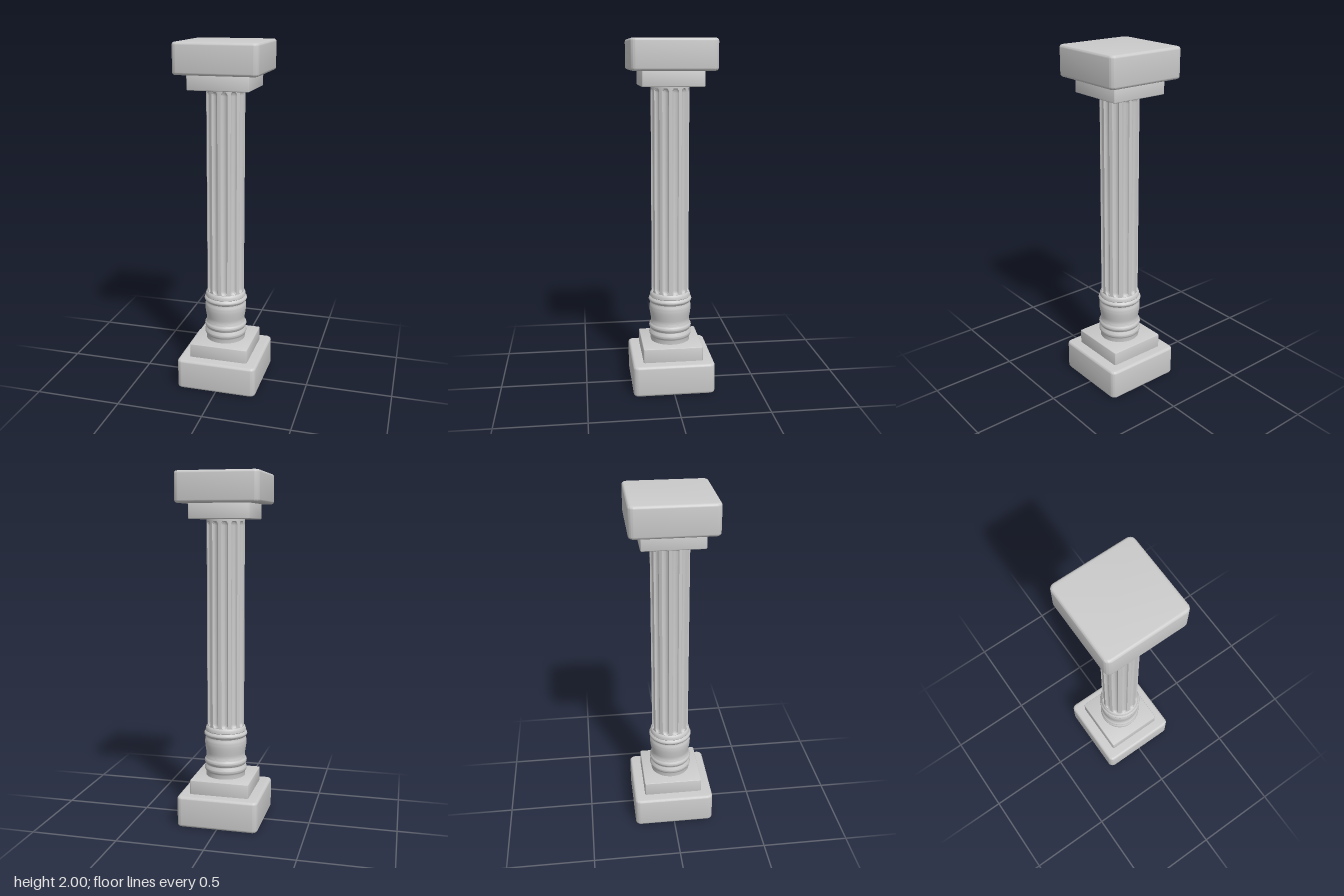
import * as THREE from 'three';
import { toCreasedNormals } from 'three/addons/utils/BufferGeometryUtils.js';

const material = new THREE.MeshStandardMaterial({ color: 0xcccccc, side: THREE.DoubleSide });

function addMesh(group, name, geometry, crease = 0.6) {
  const mesh = new THREE.Mesh(toCreasedNormals(geometry, crease), material);
  mesh.name = name;
  group.add(mesh);
  return mesh;
}

// Square slab with rounded corners and bevelled rims, from y0 to y1
function slab(half, y0, y1, corner, bevel) {
  const h = half - bevel, r = corner - bevel, k = h - r;
  const shape = new THREE.Shape();
  shape.absarc(k, k, r, 0, Math.PI / 2);
  shape.absarc(-k, k, r, Math.PI / 2, Math.PI);
  shape.absarc(-k, -k, r, Math.PI, Math.PI * 1.5);
  shape.absarc(k, -k, r, Math.PI * 1.5, Math.PI * 2);
  const geo = new THREE.ExtrudeGeometry(shape, {
    depth: y1 - y0 - 2 * bevel, bevelEnabled: true, bevelSize: bevel,
    bevelThickness: bevel, bevelSegments: 4, curveSegments: 6,
  });
  geo.rotateX(-Math.PI / 2);
  geo.translate(0, y0 + bevel, 0);
  return geo;
}

// Cylinder with twelve round-ended flutes carved into it
function flutedShaft() {
  const radius = 0.108, depth = 0.014, bottom = 0.56, top = 1.735, cap = 0.025;
  const pitch = Math.PI / 6, halfWidth = pitch / 3, offset = pitch / 3;
  const ends = [0, 0.03, 0.15, 0.35, 0.6, 1].map((t) => t * cap);
  const ys = [0.54, ...ends.map((e) => bottom + e), ...ends.map((e) => top - e).reverse(), 1.75];
  const geo = new THREE.LatheGeometry(ys.map((y) => new THREE.Vector2(radius, y)), 144);
  const pos = geo.attributes.position;
  for (let i = 0; i < pos.count; i++) {
    const x = pos.getX(i), y = pos.getY(i), z = pos.getZ(i);
    const a = (Math.atan2(x, z) - offset) / pitch;
    const t = (a - Math.round(a)) * pitch / halfWidth;
    const s = Math.max(0, bottom + cap - y, y - (top - cap)) / cap;
    const cut = depth * Math.sqrt(Math.max(0, 1 - t * t - s * s));
    const f = 1 - cut / radius;
    pos.setXYZ(i, x * f, y, z * f);
  }
  return geo;
}

// Turned base: two rings, a waisted drum and a collar
function turnedBase() {
  const points = [[0.115, 0.255], [0.115, 0.282]];
  const ring = (r0, r1, y0, y1) => {
    for (let i = 0; i <= 8; i++) {
      const t = i / 8;
      points.push([r0 + (r1 - r0) * Math.sin(Math.PI * t), y0 + (y1 - y0) * t]);
    }
  };
  ring(0.115, 0.124, 0.285, 0.328);
  ring(0.115, 0.124, 0.332, 0.37);
  const drum = new THREE.SplineCurve([
    [0.114, 0.375], [0.113, 0.395], [0.117, 0.42], [0.121, 0.45], [0.121, 0.475], [0.116, 0.494],
  ].map((p) => new THREE.Vector2(...p)));
  drum.getPoints(16).forEach((p) => points.push([p.x, p.y]));
  ring(0.116, 0.126, 0.497, 0.53);
  points.push([0.118, 0.533], [0.117, 0.545], [0.113, 0.555], [0.107, 0.56]);
  return new THREE.LatheGeometry(points.map((p) => new THREE.Vector2(...p)), 64);
}

export function createModel() {
  const column = new THREE.Group();
  column.name = 'column';
  addMesh(column, 'plinth', slab(0.235, 0, 0.18, 0.032, 0.015));
  addMesh(column, 'plinthStep', slab(0.172, 0.175, 0.262, 0.01, 0.005));
  addMesh(column, 'turnedBase', turnedBase());
  addMesh(column, 'flutedShaft', flutedShaft(), 0.5);
  addMesh(column, 'capitalStep', slab(0.172, 1.745, 1.835, 0.01, 0.005));
  addMesh(column, 'capitalSlab', slab(0.235, 1.83, 2, 0.032, 0.015));
  return column;
}
